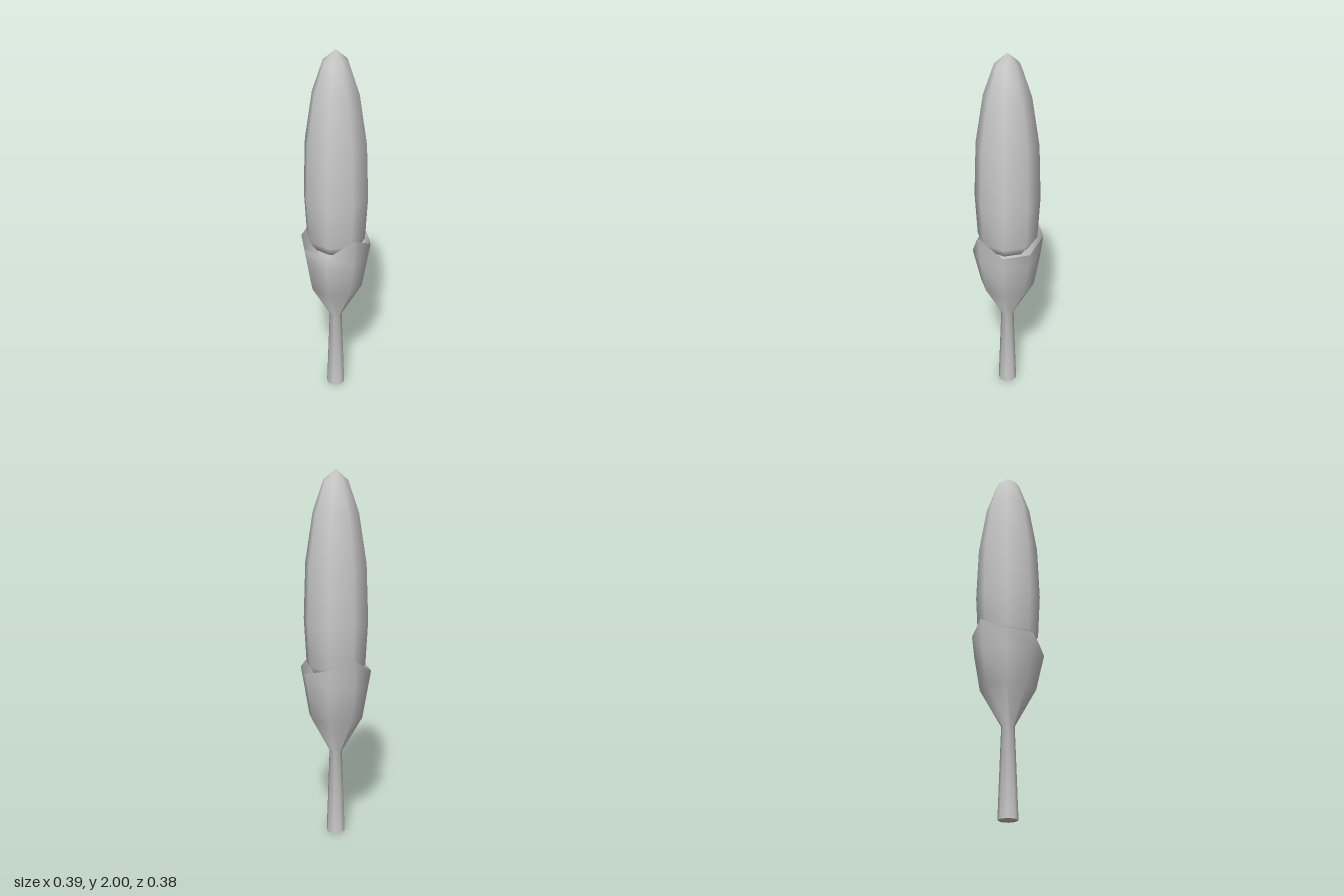
import * as THREE from 'three';
import { mergeVertices } from 'three/addons/utils/BufferGeometryUtils.js';

const SIDES = 8;
const material = new THREE.MeshStandardMaterial({ color: 0xcccccc, side: THREE.DoubleSide });

// Eight-sided lathe; an optional rule moves each ring point (side 0 faces +z, side 2 faces +x)
function turned(name, profile, rule) {
  const points = profile.map(([r, y]) => new THREE.Vector2(r, y));
  const geometry = new THREE.LatheGeometry(points, SIDES);
  const position = geometry.attributes.position;
  if (rule) {
    for (let i = 0; i < position.count; i++) {
      const side = Math.floor(i / points.length) % SIDES;
      const [r, y] = rule(side, i % points.length, profile);
      const angle = (side / SIDES) * Math.PI * 2;
      position.setXYZ(i, r * Math.sin(angle), y, r * Math.cos(angle));
    }
  }
  // Weld the seam and poles for smooth shading
  geometry.deleteAttribute('uv');
  geometry.deleteAttribute('normal');
  const welded = mergeVertices(geometry, 1e-5);
  welded.computeVertexNormals();
  const mesh = new THREE.Mesh(welded, material);
  mesh.name = name;
  return mesh;
}

export function createModel() {
  const group = new THREE.Group();
  group.name = 'flowerBud';

  // Tapered stem flaring into a cup with an uneven rim
  const rimHeights = [0.93, 1.03, 0.95, 0.95, 0.99, 1.03, 0.95, 0.945];
  const cupProfile = [[0.052, 0], [0.035, 0.48], [0.147, 0.68], [0.179, 0.87], [0.193, 0.95]];
  group.add(turned('stemAndCup', cupProfile, (side, ring, profile) => {
    const [r, y] = profile[ring];
    if (ring === 4) return [side === 0 ? 0.17 : r, rimHeights[side]];
    if (ring === 3 && side === 0) return [0.191, y]; // front sepal folds inward
    return [r, y];
  }));

  // Flat end of the stem
  const base = new THREE.Mesh(new THREE.CircleGeometry(0.052, SIDES), material);
  base.name = 'stemBase';
  base.rotation.x = Math.PI / 2;
  group.add(base);

  // Closed bud sitting in the cup
  group.add(turned('bud', [
    [0, 0.86], [0.12, 0.92], [0.161, 0.98], [0.174, 1.22],
    [0.163, 1.52], [0.122, 1.78], [0.065, 1.945], [0, 2],
  ]));

  return group;
}
